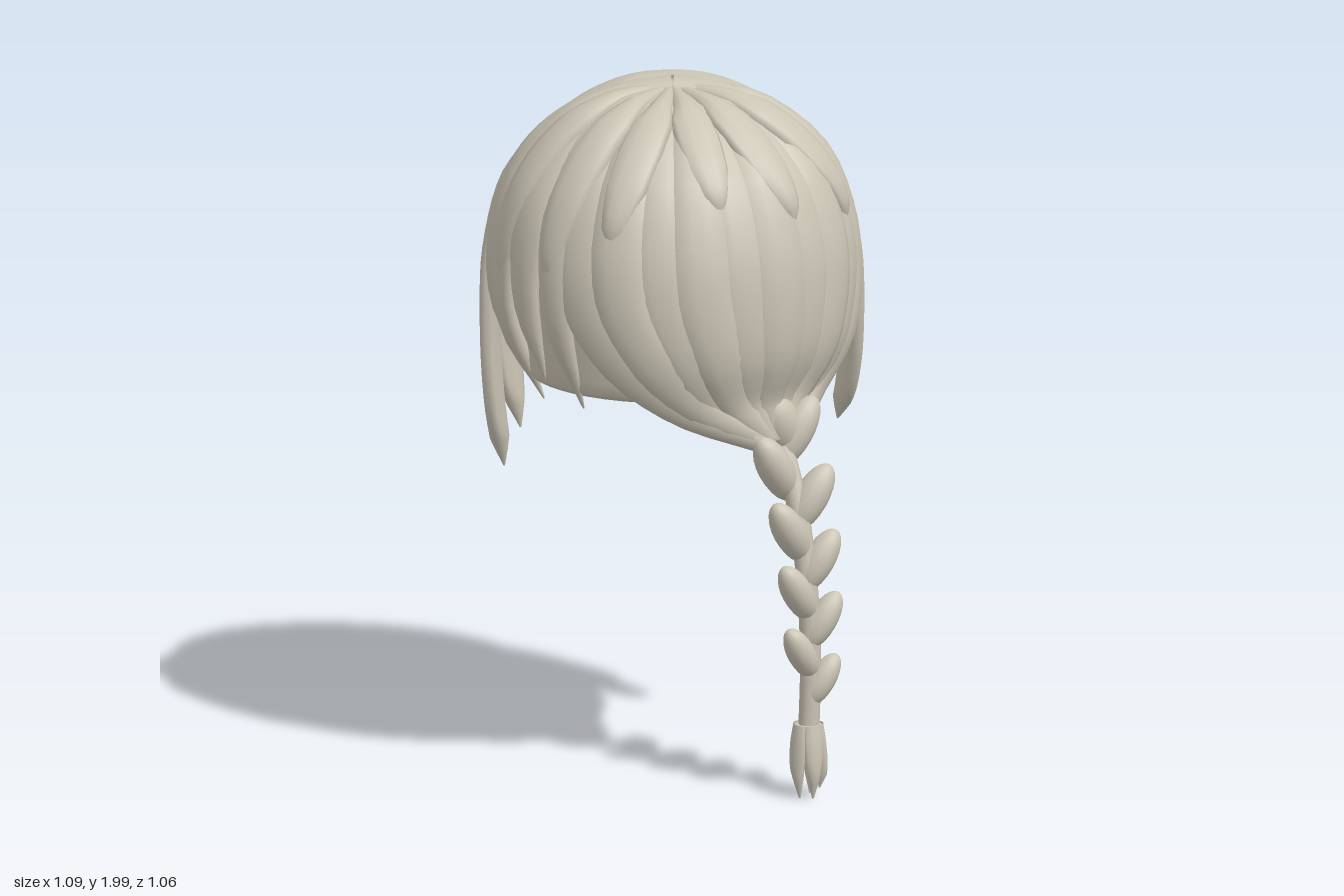
import * as THREE from 'three';

const hair = new THREE.MeshStandardMaterial({ color: 0xcbc5b5, side: THREE.DoubleSide });
hair.name = 'ash hair';

const V = (x, y, z) => new THREE.Vector3(x, y, z);
const rad = THREE.MathUtils.degToRad;
const lerp = THREE.MathUtils.lerp;

// linear lookup in an evenly spaced list
function sample(list, t) {
  const f = t * (list.length - 1), i = Math.min(Math.floor(f), list.length - 2);
  return lerp(list[i], list[i + 1], f - i);
}

// head profile: [height, radius]
const PROFILE = [[1.04, 0.38], [1.13, 0.45], [1.2, 0.485], [1.3, 0.515], [1.45, 0.525], [1.6, 0.508],
  [1.7, 0.483], [1.8, 0.432], [1.9, 0.33], [1.95, 0.23], [1.98, 0.11], [2, 0]];
function radiusAt(y) {
  for (let i = 1; i < PROFILE.length; i++) {
    const [y0, r0] = PROFILE[i - 1], [y1, r1] = PROFILE[i];
    if (y <= y1) return lerp(r0, r1, Math.max(0, (y - y0) / (y1 - y0)));
  }
  return 0;
}
// point on the head; angle in degrees from +z towards +x
function onHead(deg, y, lift = 0) {
  const r = radiusAt(y) + lift * 0.8, a = rad(deg);
  return V(r * Math.sin(a), y + (y > 1.75 ? lift * 0.6 : 0), r * Math.cos(a));
}

const headCentre = (p) => V(0, Math.min(p.y, 1.4), 0);

// lens-shaped lock of hair swept along a path, flat side facing the centre
function lock(name, points, widths, thick, centre = headCentre, steps = 24) {
  const curve = new THREE.CatmullRomCurve3(points), sides = 10, pos = [], index = [];
  for (let i = 0; i <= steps; i++) {
    const t = i / steps, p = curve.getPoint(t), T = curve.getTangent(t);
    const N = p.clone().sub(centre(p));
    N.addScaledVector(T, -N.dot(T)).normalize();
    const S = N.clone().cross(T);
    const w = sample(widths, t), h = Math.min(thick, w * 0.8);
    for (let j = 0; j < sides; j++) {
      const a = j / sides * Math.PI * 2;
      const q = p.clone().addScaledVector(S, Math.cos(a) * w).addScaledVector(N, Math.sin(a) * h);
      pos.push(q.x, q.y, q.z);
      if (i < steps) {
        const k = (j + 1) % sides, b = i * sides;
        index.push(b + j, b + k, b + sides + j, b + k, b + sides + k, b + sides + j);
      }
    }
  }
  const g = new THREE.BufferGeometry();
  g.setAttribute('position', new THREE.Float32BufferAttribute(pos, 3));
  g.setIndex(index);
  g.computeVertexNormals();
  return mesh(name, g);
}
function mesh(name, geometry) {
  const m = new THREE.Mesh(geometry, hair);
  m.name = name;
  return m;
}
function group(name, ...children) {
  const g = new THREE.Group();
  g.name = name;
  if (children.length) g.add(...children);
  return g;
}

// smooth cap under the locks: closed crown, lower half open towards the face
function buildCap() {
  const inner = (y) => new THREE.Vector2(Math.max(0, radiusAt(y) - 0.074), y - (y > 1.75 ? 0.04 : 0));
  const crown = [1.6, 1.7, 1.75, 1.8, 1.85, 1.9, 1.93, 1.95, 1.97, 2].map(inner);
  const rim = [[0.39, 1.17], [0.41, 1.15], [0.426, 1.165], [0.432, 1.2]].map(([r, y]) => new THREE.Vector2(r, y));
  const back = [...rim, ...[1.3, 1.45, 1.6].map(inner)];
  return group('innerCap', mesh('crownCap', new THREE.LatheGeometry(crown, 48)),
    mesh('backCap', new THREE.LatheGeometry(back, 22, rad(-82.5), rad(165))));
}

// locks swept from the crown to the start of the braid
function buildGathered() {
  const g = group('gatheredHair');
  for (let i = 0; i <= 9; i++) {
    const a = lerp(-34, 91, i / 9), lift = i % 2 ? -0.034 : -0.043;
    const to = (k) => lerp(a, 38, k);
    g.add(lock('gatheredLock', [V(0, 1.972, 0), onHead(a, 1.94, lift), onHead(a, 1.8, lift), onHead(a, 1.6, lift),
      onHead(to(0.05), 1.44, lift), onHead(to(0.24), 1.28, lift), onHead(to(0.52), 1.14, lift),
      V(lerp(0.23, 0.33, i / 9), 1.03, lerp(0.38, 0.31, i / 9))],
    [0.008, 0.05, 0.08, 0.09, 0.09, 0.083, 0.06, 0.03], 0.038));
  }
  return g;
}

// loose locks: [start angle, end angle, tip height, half width, lift]
function buildLoose() {
  const g = group('looseLocks');
  const list = [
    [-48, -41, 1.11, 0.07, -0.028], [-60, -57, 1.18, 0.08, -0.028], [-73, -74, 1.09, 0.085, -0.028],
    [-86, -85, 1.18, 0.085, -0.03],
    [-10, -24, 1.56, 0.065, -0.012], [8, 15, 1.68, 0.065, -0.012], [-34, -46, 1.42, 0.07, -0.012],
    [32, 44, 1.62, 0.07, -0.012], [60, 78, 1.56, 0.08, -0.012], [-60, -72, 1.38, 0.075, -0.012]];
  for (const [a, b, tip, w, lift] of list) {
    const pts = [V(0, 1.974, 0)];
    for (const k of [0.12, 0.35, 0.6, 0.82, 1]) {
      const y = lerp(1.96, tip, k * k);
      pts.push(onHead(lerp(a, b, k), y, lift - (k === 1 ? 0.02 : 0)));
    }
    g.add(lock('looseLock', pts, [0.006, w * 0.5, w * 0.9, w, w * 0.95, w * 0.6, 0.003], 0.028));
  }
  // straight edge of the parting on both sides
  for (const s of [-1, 1]) {
    const pts = [[0, 1.966, -0.01], [0.12, 1.951, -0.01], [0.24, 1.912, -0.01], [0.36, 1.83, -0.01],
      [0.44, 1.72, -0.008], [0.486, 1.55, 0], [0.49, 1.36, 0.03]].map(([x, y, z]) => V(s * x, y, z));
    g.add(lock('partingLock', pts, [0.076, 0.078, 0.08, 0.082, 0.084, 0.084, 0.07, 0.03], 0.029));
  }
  return g;
}

// fringe: fan of pointed overlapping locks
function buildFringe() {
  const g = group('fringe');
  const rows = [[0.02, 1.955], [0.3, 1.938], [0.6, 1.868], [0.85, 1.757], [0.98, 1.63]];
  const n = 17;
  for (let i = 0; i <= n; i++) {
    const a = rad(lerp(-85, 85, i / n)), tip = 1.475 + (i * 7 % 4) * 0.012;
    const at = (u, y) => V(0.455 * u * Math.sin(a), y - 0.008, -0.14 - 0.375 * u * Math.cos(a));
    const pts = rows.map(([u, y]) => at(u, y));
    pts.push(at(0.965, tip + 0.008));
    g.add(lock('fringeLock', pts, [0.018, 0.032, 0.046, 0.056, 0.063, 0.067, 0.067, 0.064, 0.055, 0.03, 0.003], 0.021));
  }
  return g;
}

// pair of long locks beside the face
function buildSideLocks(name, s, tipA, tipB) {
  const a = lock('rearSideLock', [V(s * 0.345, 1.81, -0.1), V(s * 0.447, 1.7, -0.095), V(s * 0.503, 1.5, -0.082),
    V(s * 0.512, 1.3, -0.085), V(s * 0.5, lerp(1.3, tipA, 0.55), -0.11), V(s * 0.47, tipA, -0.15)],
  [0.05, 0.082, 0.1, 0.104, 0.102, 0.09, 0.06, 0.003], 0.027);
  const b = lock('frontSideLock', [V(s * 0.32, 1.78, -0.18), V(s * 0.385, 1.68, -0.225), V(s * 0.44, 1.5, -0.252),
    V(s * 0.455, 1.3, -0.262), V(s * 0.45, lerp(1.3, tipB, 0.55), -0.265), V(s * 0.42, tipB, -0.27)],
  [0.03, 0.065, 0.09, 0.1, 0.096, 0.08, 0.05, 0.003], 0.026);
  return group(name, a, b);
}

// braid: root, core, alternating lobes and a split tail
function buildBraid() {
  const path = new THREE.CatmullRomCurve3([V(0.26, 1.12, 0.28), V(0.3, 1, 0.325), V(0.34, 0.84, 0.37),
    V(0.367, 0.62, 0.395), V(0.377, 0.4, 0.396), V(0.372, 0.19, 0.395)]);
  const lobe = new THREE.SphereGeometry(1, 16, 12);
  const root = mesh('braidRoot', lobe);
  root.scale.set(0.065, 0.11, 0.065);
  root.position.set(0.29, 1.06, 0.305);
  root.rotation.set(0.35, 0, 0.3);
  const g = group('braid', root, mesh('braidCore', new THREE.TubeGeometry(path, 30, 0.03, 10)));
  for (let i = 0; i < 9; i++) {
    const y = 1.035 - i * 0.087, side = i % 2 ? -1 : 1, k = 1 - i * 0.035;
    let t = 0;
    while (t < 1 && path.getPoint(t).y > y) t += 0.005;
    const holder = group('braidLobe', mesh('lobe', lobe));
    const m = holder.children[0];
    m.scale.set(0.053 * k, 0.118 * k, 0.054 * k);
    m.position.set(side * 0.046 * k, 0, 0.008);
    m.rotation.set(0.12, 0, -side * 0.55);
    holder.position.copy(path.getPoint(t));
    holder.rotation.y = 0.5;
    g.add(holder);
  }
  const tail = group('braidTail'), cx = 0.37, cz = 0.398;
  for (let i = 0; i < 5; i++) {
    const a = i / 5 * Math.PI * 2 + 0.4, at = (r, y) => V(cx + r * Math.sin(a), y, cz + r * Math.cos(a));
    tail.add(lock('tailLock', [at(0.028, 0.212), at(0.037, 0.15), at(0.04, 0.08), at(0.032, i % 2 ? 0.025 : 0.002)],
      [0.025, 0.029, 0.027, 0.018, 0.003], 0.015, (p) => V(cx, p.y, cz), 12));
  }
  tail.add(mesh('tailTop', new THREE.CylinderGeometry(0.04, 0.034, 0.05, 12).translate(cx, 0.186, cz)));
  g.add(tail);
  return g;
}

export function createModel() {
  return group('braidedHair', buildCap(), buildGathered(), buildLoose(), buildFringe(),
    buildSideLocks('leftSideLocks', 1, 0.96, 1.02), buildSideLocks('rightSideLocks', -1, 0.83, 0.91), buildBraid());
}
